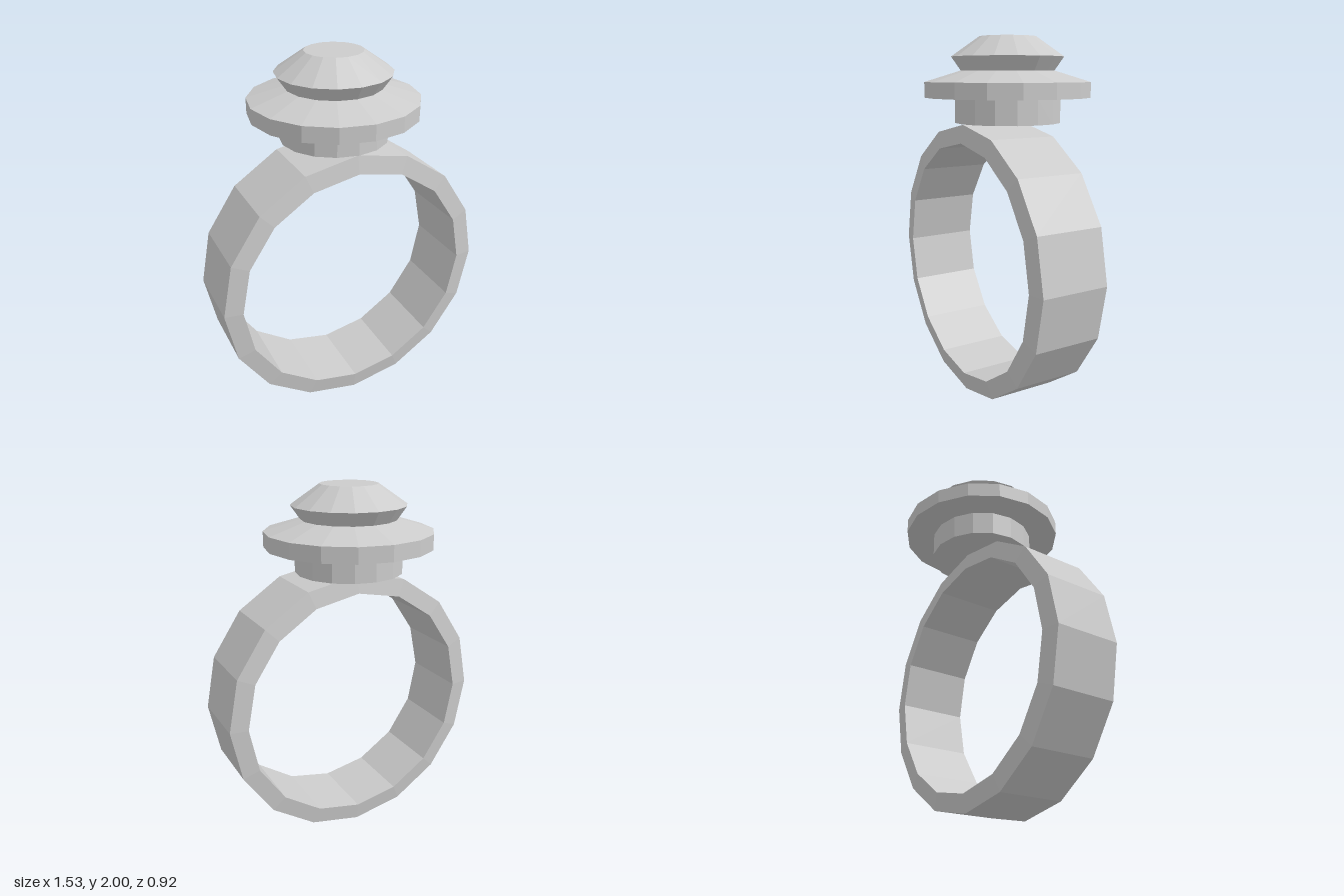
import * as THREE from 'three';

const SIDES = 16;

// Faceted turned part from [radius, height] pairs, listed from bottom to top on the outside
function turned(name, profile) {
  const points = profile.map(([r, y]) => new THREE.Vector2(r, y));
  const material = new THREE.MeshStandardMaterial({ color: 0xcccccc, flatShading: true });
  const mesh = new THREE.Mesh(new THREE.LatheGeometry(points, SIDES), material);
  mesh.name = name;
  return mesh;
}

export function createModel() {
  const model = new THREE.Group();
  model.name = 'ring';

  // Finger band: closed section, slightly wider on the inside, set a little forward
  const outer = 0.766, inner = 0.666;
  const band = turned('band', [
    [inner, -0.208], [outer, -0.193], [outer, 0.193], [inner, 0.208], [inner, -0.208],
  ]);
  band.geometry.rotateX(Math.PI / 2);
  band.position.set(0, outer, 0.092);
  model.add(band);

  // Setting: round base carrying a wide collar with a sloping top
  model.add(turned('setting', [
    [0, 1.535], [0.295, 1.535], [0.295, 1.673], [0.459, 1.673], [0.459, 1.757], [0.26, 1.818],
    [0, 1.818],
  ]));

  // Cut gem: flares out to its girdle, then in to a flat table
  model.add(turned('gem', [[0, 1.818], [0.26, 1.818], [0.312, 1.892], [0.156, 2], [0, 2]]));

  return model;
}
